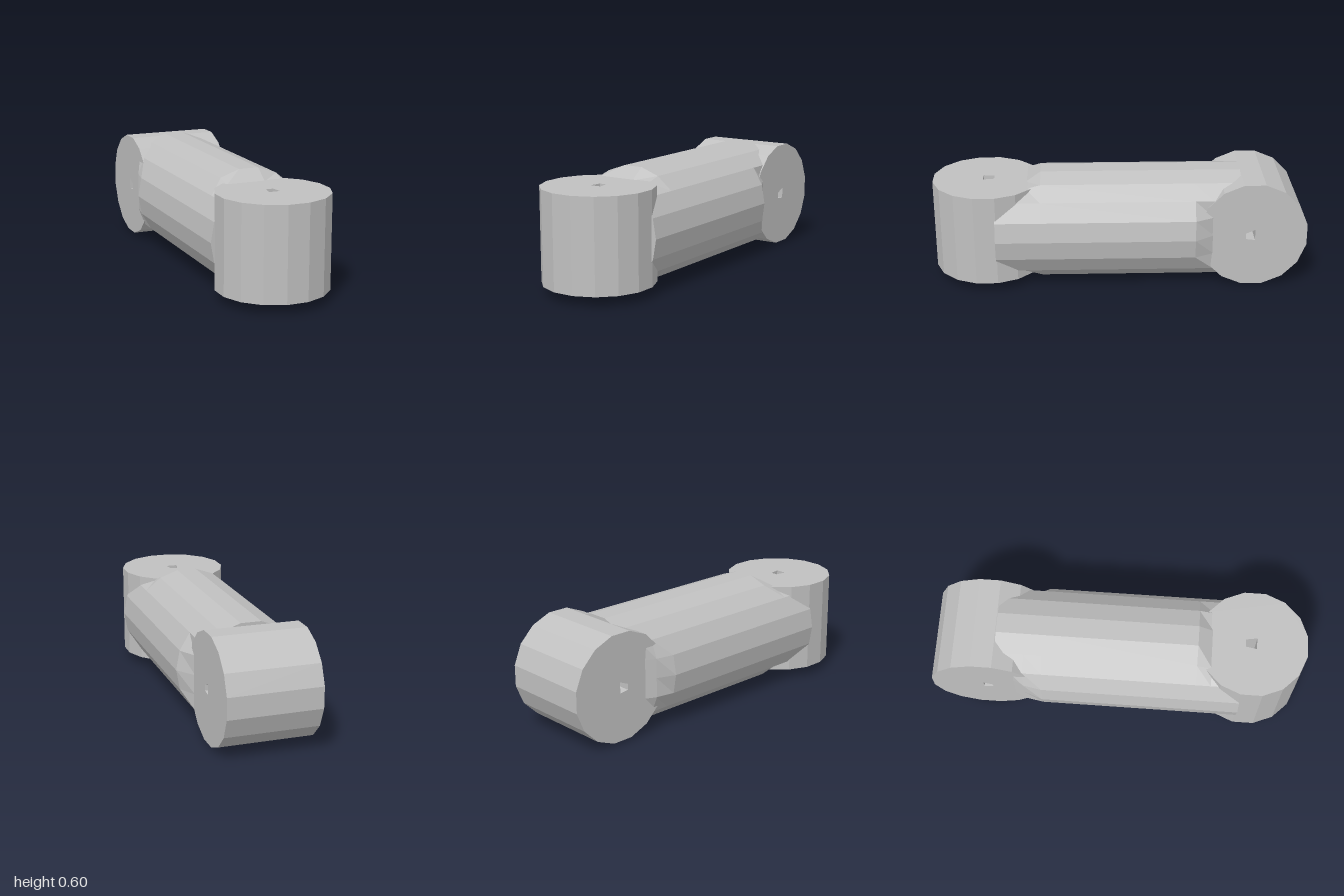
import * as THREE from 'three';

const MID = 0.302; // height of the centre line
const SIDES = 18;

// Flat drum with a small four-cornered through hole, extruded along z and centred
function drumGeometry(radius, depth, sides, hole) {
  const shape = new THREE.Shape();
  for (let i = 0; i < sides; i++) {
    const a = ((i + 0.5) / sides) * Math.PI * 2;
    const x = Math.cos(a) * radius, y = Math.sin(a) * radius;
    if (i === 0) shape.moveTo(x, y); else shape.lineTo(x, y);
  }
  shape.closePath();
  shape.holes.push(new THREE.Path(hole.map(([x, y]) => new THREE.Vector2(x, y))));
  const g = new THREE.ExtrudeGeometry(shape, { depth, bevelEnabled: false });
  return g.translate(0, 0, -depth / 2);
}

// Round bar, flattened top and bottom at the front, and on both sides at the back
function shankGeometry() {
  // z, limit of |y|, limit of +x, limit of -x
  const sections = [
    [0.66, 0.244, 1, 1],
    [0.50, 0.244, 1, 1],
    [0.42, 1, 1, 1],
    [-0.40, 1, 1, 1],
    [-0.50, 1, 0.244, 0.276],
    [-0.57, 1, 0.244, 0.244],
    [-0.65, 1, 0.244, 0.244],
  ];
  const pos = [], idx = [];
  for (const [z, ly, lr, ll] of sections) {
    for (let j = 0; j < SIDES; j++) {
      const a = (j / SIDES) * Math.PI * 2;
      const x = THREE.MathUtils.clamp(Math.cos(a) * 0.313, -ll, lr);
      const y = THREE.MathUtils.clamp(Math.sin(a) * 0.3065, -ly, ly);
      pos.push(x, MID + y, z);
    }
  }
  const last = sections.length - 1;
  const front = pos.length / 3, back = front + 1;
  pos.push(0, MID, sections[0][0], 0, MID, sections[last][0]);
  for (let j = 0; j < SIDES; j++) {
    const k = (j + 1) % SIDES;
    for (let i = 0; i < last; i++) {
      const a = i * SIDES + j, b = i * SIDES + k;
      idx.push(a, a + SIDES, b, b, a + SIDES, b + SIDES);
    }
    idx.push(front, j, k, back, last * SIDES + k, last * SIDES + j);
  }
  const g = new THREE.BufferGeometry();
  g.setAttribute('position', new THREE.Float32BufferAttribute(pos, 3));
  g.setIndex(idx);
  const flat = g.toNonIndexed();
  flat.computeVertexNormals();
  return flat;
}

export function createModel() {
  const group = new THREE.Group();
  group.name = 'twistedLink';
  const metal = new THREE.MeshStandardMaterial({ color: 0xc0c0c0 });
  metal.name = 'greyMetal';
  metal.flatShading = true;

  const add = (name, geometry) => {
    const mesh = new THREE.Mesh(geometry, metal);
    mesh.name = name;
    group.add(mesh);
    return mesh;
  };

  // Connecting bar
  add('shank', shankGeometry());

  // Front eye, bored vertically
  const frontHole = [[-0.02, 0.04], [0.02, 0.04], [0.03, -0.02], [-0.03, -0.02]];
  const frontEye = add('frontEye',
    drumGeometry(0.294, 0.495, 16, frontHole).rotateX(-Math.PI / 2));
  frontEye.position.set(-0.002, MID, 0.712);

  // Back eye, bored sideways
  const backHole = [[-0.04, 0.01], [0.01, 0.032], [0.01, -0.028], [-0.04, -0.022]];
  const backEye = add('backEye',
    drumGeometry(0.293, 0.498, 16, backHole).rotateY(Math.PI / 2));
  backEye.position.set(-0.002, MID, -0.712);

  return group;
}
